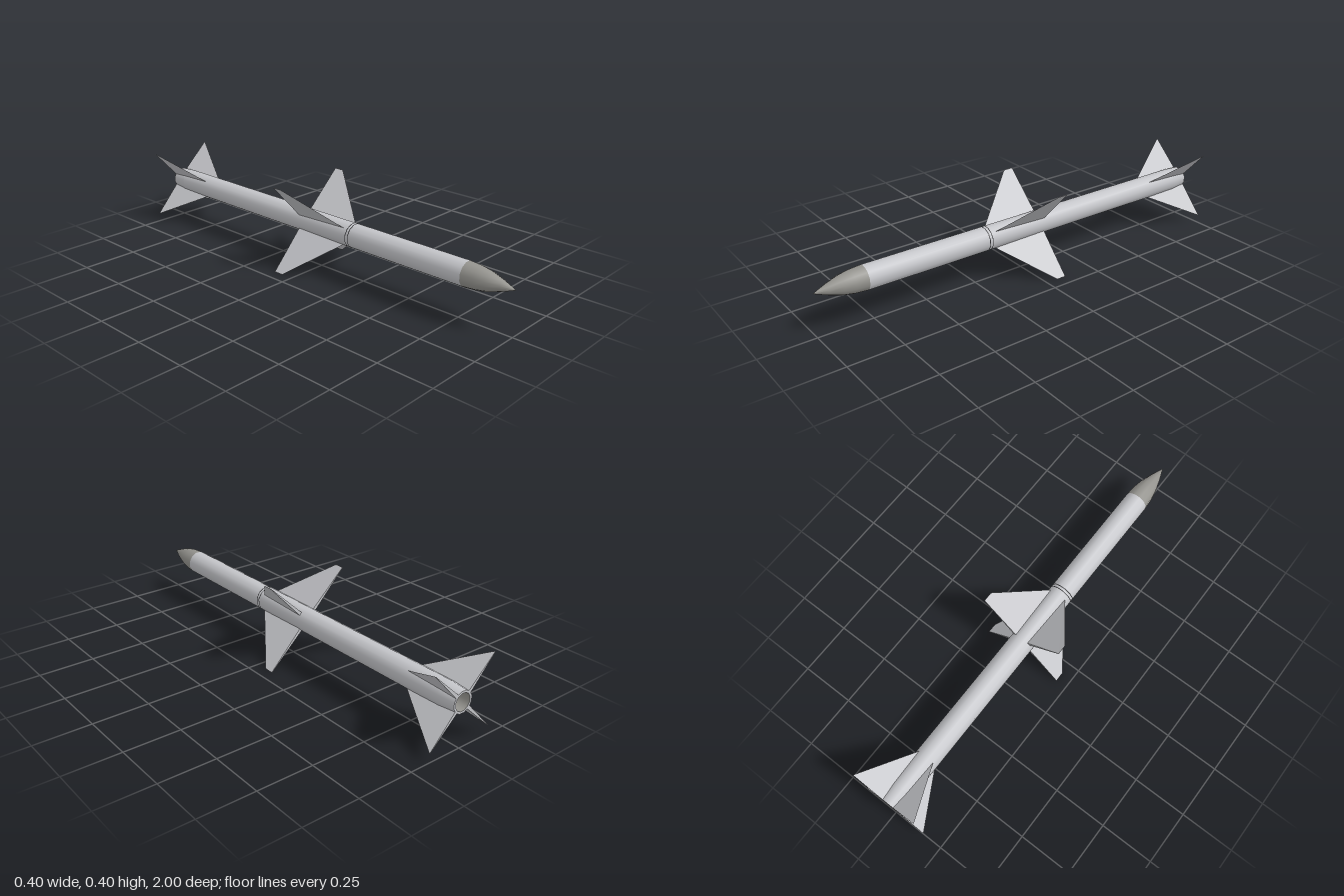
import * as THREE from 'three';

const SIDES = 12;
const R = 0.055;
const AXIS_Y = 0.197;

const paint = (name, color) => {
  const m = new THREE.MeshStandardMaterial({ color });
  m.name = name;
  return m;
};

// Surface of revolution along z; profile is [radius, z] from back to front
function turned(name, profile, material) {
  const geo = new THREE.LatheGeometry(
    profile.map(([r, z]) => new THREE.Vector2(r, z)), SIDES, Math.PI / SIDES);
  geo.rotateX(Math.PI / 2);
  const mesh = new THREE.Mesh(geo, material);
  mesh.name = name;
  return mesh;
}

// Wedge fin: sharp leading edge, blunt trailing edge, thinning towards the tip
function finGeometry({ rootR, tipR, rootFront, tipFront, back, rootHalf, tipHalf }) {
  const section = (r, front, half) => [r, 0, front, r, half, back, r, -half, back];
  const geo = new THREE.BufferGeometry();
  geo.setAttribute('position', new THREE.Float32BufferAttribute([
    ...section(rootR, rootFront, rootHalf), ...section(tipR, tipFront, tipHalf)], 3));
  geo.setIndex([0, 3, 4, 0, 4, 1, 0, 2, 5, 0, 5, 3, 1, 4, 5, 1, 5, 2, 3, 5, 4, 0, 1, 2]);
  const flat = geo.toNonIndexed();
  flat.computeVertexNormals();
  return flat;
}

// Four fins in an X around the axis
function finSet(name, spec, material) {
  const set = new THREE.Group();
  set.name = name + 's';
  const geo = finGeometry(spec);
  for (let i = 0; i < 4; i++) {
    const fin = new THREE.Mesh(geo, material);
    fin.name = name;
    fin.rotation.z = Math.PI / 4 + i * Math.PI / 2;
    set.add(fin);
  }
  return set;
}

export function createModel() {
  const grey = paint('light grey', 0xc4c5c9);
  const noseGrey = paint('nose grey', 0x95948f);
  const dark = paint('dark joint', 0x2c2c2e);

  const model = new THREE.Group();
  model.name = 'missile';
  const body = new THREE.Group();
  body.name = 'airframe';
  body.position.y = AXIS_Y;
  model.add(body);

  // Main tube and slightly tapered tail
  body.add(turned('tube', [[R, -0.92], [R, 0.78]], grey));
  body.add(turned('tailTaper', [[0.049, -1], [R, -0.92]], grey));

  // Nose cone
  body.add(turned('noseCone',
    [[R, 0.78], [0.051, 0.835], [0.043, 0.88], [0.024, 0.94], [0, 1]], noseGrey));

  // Hollow exhaust: rim, inner wall, floor
  body.add(turned('exhaustRim', [[0.039, -1], [0.049, -1]], grey));
  body.add(turned('exhaustWall', [[0.037, -0.9], [0.039, -1]], noseGrey));
  body.add(turned('exhaustFloor', [[0, -0.9], [0.037, -0.9]], noseGrey));

  // Joint lines ahead of the wings
  for (const z of [0.187, 0.201]) {
    body.add(turned('jointLine', [[R + 0.0004, z - 0.002], [R + 0.0004, z + 0.002]], dark));
  }

  // Mid wings and tail fins
  body.add(finSet('wing', {
    rootR: 0.045, tipR: 0.279, rootFront: 0.175, tipFront: -0.055, back: -0.1,
    rootHalf: 0.008, tipHalf: 0.001,
  }, grey));
  body.add(finSet('tailFin', {
    rootR: 0.042, tipR: 0.222, rootFront: -0.735, tipFront: -0.995, back: -1,
    rootHalf: 0.008, tipHalf: 0.0008,
  }, grey));

  return model;
}
